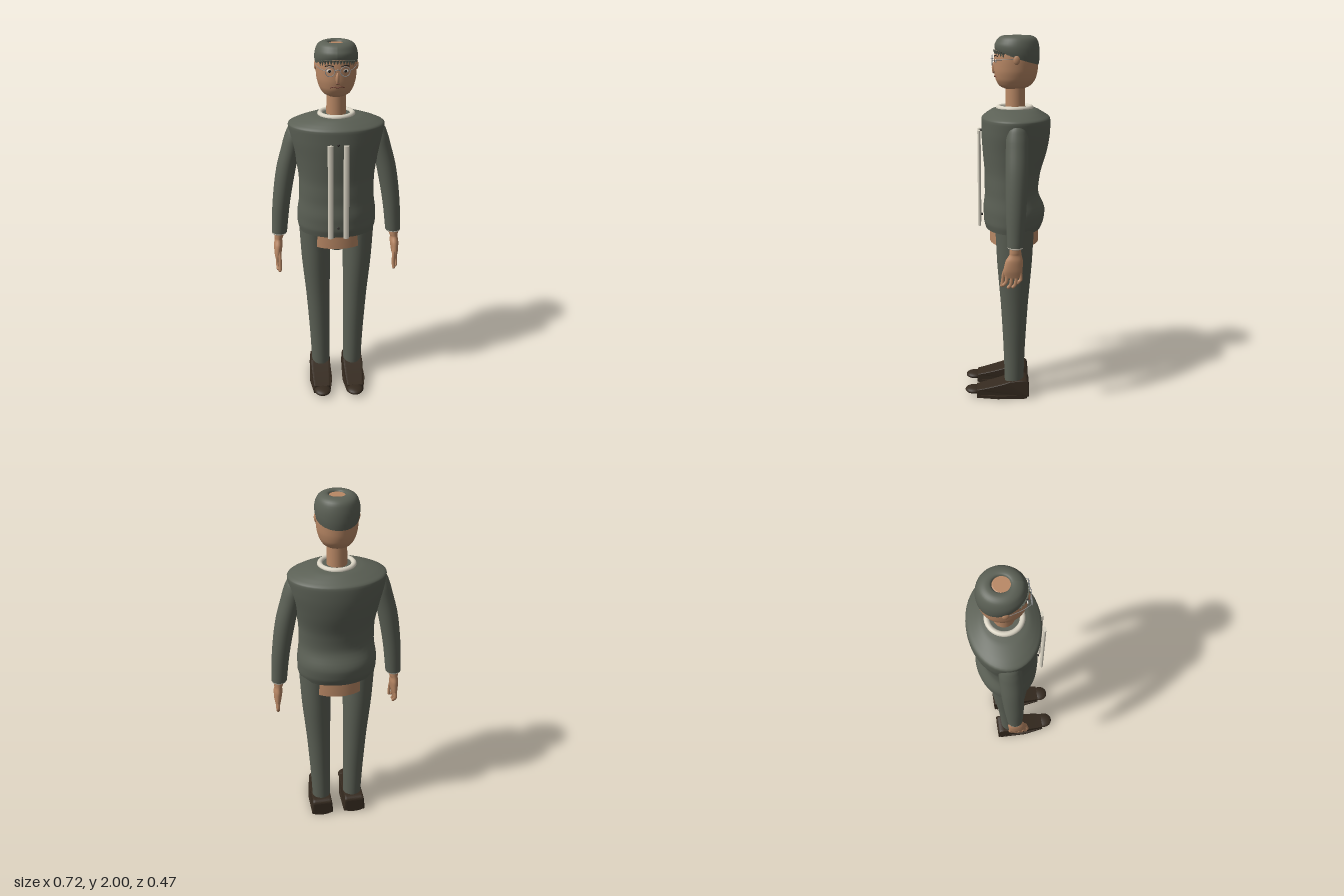
import * as THREE from 'three';

const mat = (name, color, extra = {}) => {
  const m = new THREE.MeshStandardMaterial({ color, ...extra });
  m.name = name;
  return m;
};

// Closed smooth body from elliptical sections [x, y, z, rx, rz], listed bottom to top
function loft(sections, steps = 20, n = 32) {
  const centre = new THREE.CatmullRomCurve3(sections.map(s => new THREE.Vector3(s[0], s[1], s[2])));
  const radius = new THREE.CatmullRomCurve3(sections.map(s => new THREE.Vector3(s[3], s[4], 0)));
  const pos = [], idx = [];
  const ring = (c, r) => {
    for (let i = 0; i < n; i++) {
      const a = (i / n) * Math.PI * 2;
      pos.push(c.x + Math.cos(a) * r.x, c.y, c.z + Math.sin(a) * r.y);
    }
  };
  for (let j = 0; j <= steps; j++) ring(centre.getPoint(j / steps), radius.getPoint(j / steps));
  for (let j = 0; j < steps; j++) for (let i = 0; i < n; i++) {
    const a = j * n + i, b = j * n + (i + 1) % n;
    idx.push(a, a + n, b, b, a + n, b + n);
  }
  for (const top of [0, 1]) {
    const c = centre.getPoint(top), start = pos.length / 3;
    ring(c, radius.getPoint(top));
    pos.push(c.x, c.y, c.z);
    for (let i = 0; i < n; i++) {
      const a = start + i, b = start + (i + 1) % n;
      idx.push(start + n, top ? b : a, top ? a : b);
    }
  }
  const g = new THREE.BufferGeometry();
  g.setAttribute('position', new THREE.Float32BufferAttribute(pos, 3));
  g.setIndex(idx);
  g.computeVertexNormals();
  return g;
}

const tube = (pts, r, seg = 14) =>
  new THREE.TubeGeometry(new THREE.CatmullRomCurve3(pts.map(p => new THREE.Vector3(...p))), seg, r, 8);

export function createModel() {
  const model = new THREE.Group();
  model.name = 'standingMan';
  const cloth = mat('cloth', 0x5b6055, { side: THREE.DoubleSide });
  const skin = mat('skin', 0xb98865);
  const leather = mat('shoeLeather', 0x352a1f);
  const cream = mat('creamTrim', 0xd9d3c3, { side: THREE.DoubleSide });
  const metal = mat('spectacleMetal', 0x8f9192);
  const dark = mat('darkDetail', 0x2a2724);
  const lip = mat('lip', 0x7d4a3a);
  const eyeWhite = mat('eyeWhite', 0xd5d2cc);

  const add = (name, geo, material, x = 0, y = 0, z = 0, parent = model) => {
    const m = new THREE.Mesh(geo, material);
    m.name = name;
    m.position.set(x, y, z);
    parent.add(m);
    return m;
  };
  const ball = (name, material, x, y, z, sx, sy, sz) => {
    const m = add(name, new THREE.SphereGeometry(1, 20, 14), material, x, y, z);
    m.scale.set(sx, sy, sz);
    return m;
  };

  // Jacket body
  add('jacket', loft([
    [0, 0.98, -0.037, 0.205, 0.15], [0, 1.02, -0.04, 0.214, 0.163], [0, 1.08, -0.042, 0.215, 0.167],
    [0, 1.18, -0.028, 0.203, 0.145], [0, 1.28, -0.033, 0.203, 0.15], [0, 1.4, -0.045, 0.222, 0.172],
    [0, 1.5, -0.05, 0.245, 0.183], [0, 1.575, -0.05, 0.255, 0.183], [0, 1.6, -0.047, 0.215, 0.155],
    [0, 1.622, -0.045, 0.14, 0.118], [0, 1.63, -0.045, 0.08, 0.08],
  ], 50, 44), cloth);

  // Front strips and buttons
  for (const s of [-1, 1]) {
    const strip = add('frontStrip', new THREE.CylinderGeometry(0.015, 0.015, 0.52, 16), cream, s * 0.041, 1.252, 0.146);
    strip.scale.z = 0.55;
  }
  for (const y of [1.51, 1.045]) ball('button', dark, 0, y, 0.133, 0.007, 0.007, 0.006);

  // Collar and neck
  const collar = add('collar', new THREE.TorusGeometry(0.086, 0.014, 12, 40), cream, 0, 1.628, -0.045);
  collar.rotation.x = Math.PI / 2;
  add('neck', new THREE.CylinderGeometry(0.05, 0.053, 0.18, 28), skin, 0, 1.69, -0.048);

  // Head
  add('head', loft([
    [0, 1.728, -0.042, 0.045, 0.05], [0, 1.742, -0.044, 0.07, 0.08], [0, 1.775, -0.048, 0.09, 0.104],
    [0, 1.82, -0.05, 0.102, 0.114], [0, 1.88, -0.052, 0.106, 0.116], [0, 1.93, -0.053, 0.102, 0.112],
    [0, 1.97, -0.053, 0.078, 0.085], [0, 1.99, -0.05, 0.04, 0.042],
  ], 32, 36), skin);

  // Cap: open ring on top, lower edge dropping towards the back
  const profile = new THREE.SplineCurve([
    [0.106, 1.886], [0.111, 1.915], [0.109, 1.95], [0.095, 1.984], [0.07, 1.999], [0.046, 1.998], [0.038, 1.985],
  ].map(p => new THREE.Vector2(...p))).getPoints(24);
  const capGeo = new THREE.LatheGeometry(profile, 40);
  const cp = capGeo.attributes.position;
  for (let i = 0; i < cp.count; i++) {
    const w = THREE.MathUtils.clamp((1.97 - cp.getY(i)) / 0.08, 0, 1);
    cp.setY(i, cp.getY(i) + w * cp.getZ(i) * 0.32);
  }
  capGeo.scale(1, 1, 1.06);
  capGeo.computeVertexNormals();
  add('cap', capGeo, cloth, 0, 0, -0.056);
  // Ragged fringe under the cap
  for (let i = -6; i <= 6; i++) {
    const a = i * 0.15;
    const lock = add('fringe', new THREE.ConeGeometry(0.01, 0.03, 6), cloth,
      Math.sin(a) * 0.106, 1.912 - (1 - Math.cos(a)) * 0.03, -0.055 + Math.cos(a) * 0.114);
    lock.rotation.x = Math.PI;
  }

  // Face
  ball('nose', skin, 0, 1.835, 0.064, 0.01, 0.03, 0.012);
  ball('nostrils', lip, 0, 1.812, 0.068, 0.011, 0.003, 0.006);
  add('mouth', tube([[-0.036, 1.787, 0.048], [-0.018, 1.794, 0.058], [0, 1.79, 0.062], [0.018, 1.794, 0.058], [0.036, 1.787, 0.048]], 0.0035), lip);
  for (const s of [-1, 1]) {
    ball('eye', eyeWhite, s * 0.04, 1.873, 0.055, 0.016, 0.009, 0.005);
    ball('iris', dark, s * 0.04, 1.873, 0.059, 0.007, 0.008, 0.003);
    add('eyebrow', tube([[s * 0.018, 1.896, 0.061], [s * 0.04, 1.901, 0.056], [s * 0.062, 1.894, 0.042]], 0.0025), dark);
    ball('ear', skin, s * 0.105, 1.88, -0.052, 0.009, 0.024, 0.017);
    // Spectacles
    add('spectacleRim', new THREE.TorusGeometry(0.024, 0.002, 8, 28), metal, s * 0.038, 1.874, 0.074);
    add('spectacleArm', tube([[s * 0.061, 1.878, 0.074], [s * 0.085, 1.88, 0.03], [s * 0.108, 1.884, -0.04]], 0.0015), metal);
  }
  add('spectacleBridge', tube([[-0.015, 1.878, 0.074], [0, 1.884, 0.08], [0.015, 1.878, 0.074]], 0.002), metal);

  // Bare hips and trouser seat
  add('hips', loft([[0, 0.9, -0.043, 0.17, 0.133], [0, 1.0, -0.043, 0.17, 0.133]], 1, 40), skin);
  add('trouserSeat', loft([[0, 0.87, -0.043, 0.062, 0.085], [0, 0.905, -0.043, 0.062, 0.095]], 1), cloth);

  for (const s of [-1, 1]) {
    // Sleeve and cuff
    add('sleeve', loft([
      [s * 0.317, 0.955, -0.042, 0.042, 0.042], [s * 0.302, 1.13, -0.045, 0.048, 0.052],
      [s * 0.268, 1.34, -0.05, 0.053, 0.058], [s * 0.232, 1.48, -0.052, 0.052, 0.058],
      [s * 0.222, 1.54, -0.052, 0.042, 0.048], [s * 0.218, 1.575, -0.052, 0.025, 0.026],
    ], 28, 24), cloth);
    const cuff = add('cuff', new THREE.TorusGeometry(0.033, 0.008, 8, 24), cream, s * 0.319, 0.953, -0.042);
    cuff.rotation.x = Math.PI / 2;

    // Hand, fingers and thumb
    add('hand', loft([
      [s * 0.331, 0.79, -0.03, 0.011, 0.042], [s * 0.329, 0.83, -0.03, 0.02, 0.049],
      [s * 0.326, 0.88, -0.036, 0.024, 0.045], [s * 0.324, 0.912, -0.042, 0.021, 0.032],
      [s * 0.322, 0.925, -0.042, 0.025, 0.03], [s * 0.32, 0.96, -0.042, 0.027, 0.028],
    ], 20, 20), skin);
    for (let i = 0; i < 4; i++) {
      const z = 0.004 - i * 0.024, tip = [0.752, 0.738, 0.74, 0.762][i];
      add('finger', tube([[s * 0.33, 0.82, z], [s * 0.332, 0.78, z - 0.002], [s * 0.332, tip + 0.012, z + 0.004], [s * 0.33, tip, z + 0.014]], 0.009), skin);
      ball('fingertip', skin, s * 0.33, tip, z + 0.014, 0.009, 0.009, 0.009);
    }
    add('thumb', tube([[s * 0.322, 0.86, 0], [s * 0.318, 0.81, 0.018], [s * 0.318, 0.765, 0.024], [s * 0.32, 0.745, 0.028]], 0.009), skin);
    ball('thumbTip', skin, s * 0.32, 0.745, 0.028, 0.009, 0.009, 0.009);

    // Trouser leg
    add('trouserLeg', loft([
      [s * 0.094, 0.09, -0.043, 0.052, 0.053], [s * 0.098, 0.3, -0.043, 0.058, 0.06],
      [s * 0.106, 0.55, -0.043, 0.067, 0.074], [s * 0.116, 0.8, -0.043, 0.08, 0.094],
      [s * 0.121, 1.0, -0.043, 0.086, 0.104],
    ], 20, 28), cloth);

    // Shoe: wedge upper, flat sole and rounded toe
    const side = new THREE.Shape();
    side.moveTo(0.122, 0.015);
    side.lineTo(0.122, 0.085);
    side.quadraticCurveTo(0.12, 0.105, 0.09, 0.105);
    side.lineTo(0.02, 0.098);
    side.quadraticCurveTo(-0.06, 0.07, -0.165, 0.045);
    side.lineTo(-0.165, 0.015);
    const upper = new THREE.ExtrudeGeometry(side, { depth: 0.1, steps: 1, bevelEnabled: true, bevelThickness: 0.014, bevelSize: 0.004, bevelSegments: 3, curveSegments: 10 });
    upper.translate(0, 0, -0.05);
    upper.rotateY(Math.PI / 2);
    // Narrow towards the toe and the top
    const p = upper.attributes.position;
    for (let i = 0; i < p.count; i++) {
      const t = THREE.MathUtils.clamp(p.getZ(i) / 0.165, 0, 1);
      p.setX(i, p.getX(i) * (1 - 0.28 * t) * (1 - Math.max(0, p.getY(i) - 0.05) * 2.5));
    }
    upper.computeVertexNormals();
    add('shoeUpper', upper, leather, s * 0.097, 0, 0);
    const outline = new THREE.Shape();
    outline.moveTo(-0.062, 0.11);
    outline.quadraticCurveTo(0, 0.14, 0.062, 0.11);
    outline.lineTo(0.066, -0.05);
    outline.lineTo(0.047, -0.17);
    outline.lineTo(-0.047, -0.17);
    outline.lineTo(-0.066, -0.05);
    const sole = new THREE.ExtrudeGeometry(outline, { depth: 0.018, bevelEnabled: false });
    sole.rotateX(-Math.PI / 2);
    sole.rotateY(0);
    add('shoeSole', sole, leather, s * 0.097, 0, 0);
    ball('shoeToe', leather, s * 0.094, 0.031, 0.186, 0.047, 0.019, 0.049);
  }
  return model;
}
